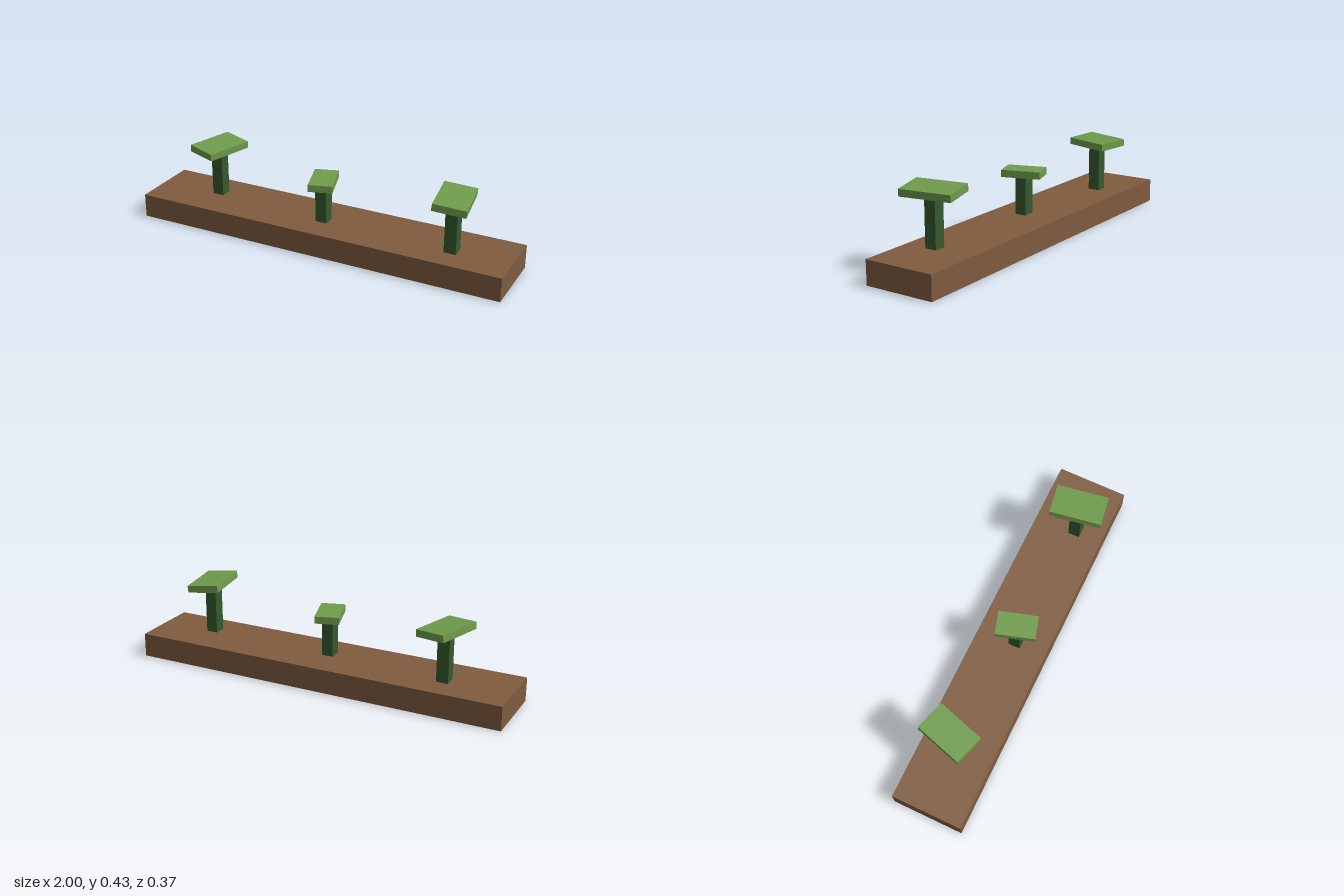
import * as THREE from 'three';

const mat = (name, color) =>
  new THREE.MeshStandardMaterial({ name, color, side: THREE.DoubleSide });

// Box without its underside, standing on y = 0
function openBox(w, h, d) {
  const geo = new THREE.BoxGeometry(w, h, d).translate(0, h / 2, 0);
  const index = Array.from(geo.index.array);
  index.splice(18, 6); // the six indices of the -y face
  geo.setIndex(index);
  geo.clearGroups();
  return geo;
}

export function createModel() {
  const soil = mat('soil brown', 0x7f5c40);
  const stemGreen = mat('stem green', 0x35592d);
  const leafGreen = mat('leaf green', 0x6f9c4c);

  const model = new THREE.Group();
  model.name = 'plantBed';

  const add = (parent, name, geo, material) => {
    const mesh = new THREE.Mesh(geo, material);
    mesh.name = name;
    parent.add(mesh);
    return mesh;
  };

  // Planting bed
  const bedHeight = 0.125;
  add(model, 'bed', openBox(2, bedHeight, 0.374), soil);

  // Sprouts: position, height of the leaf's rim, leaf size, turn and tilt
  const thickness = 0.037;
  const sprouts = [
    { name: 'leftSprout', x: 0.696, z: 0.037, rim: 0.382, w: 0.168, d: 0.271, turn: 0.16, tilt: -0.1 },
    { name: 'middleSprout', x: -0.009, z: 0.02, rim: 0.324, w: 0.124, d: 0.203, turn: 0.3, tilt: 0 },
    { name: 'rightSprout', x: -0.654, z: -0.03, rim: 0.373, w: 0.162, d: 0.256, turn: -0.29, tilt: -0.066 },
  ];
  for (const s of sprouts) {
    const sprout = new THREE.Group();
    sprout.name = s.name;
    sprout.position.set(s.x, bedHeight, s.z);

    // Upright square stem
    add(sprout, 'stem', openBox(0.062, s.rim - bedHeight, 0.062), stemGreen);

    // Hollow leaf slab resting on the stem
    const leaf = add(sprout, 'leaf', openBox(s.w, thickness, s.d), leafGreen);
    leaf.position.y = s.rim - bedHeight;
    leaf.rotation.set(0, s.turn, s.tilt);

    model.add(sprout);
  }
  return model;
}
